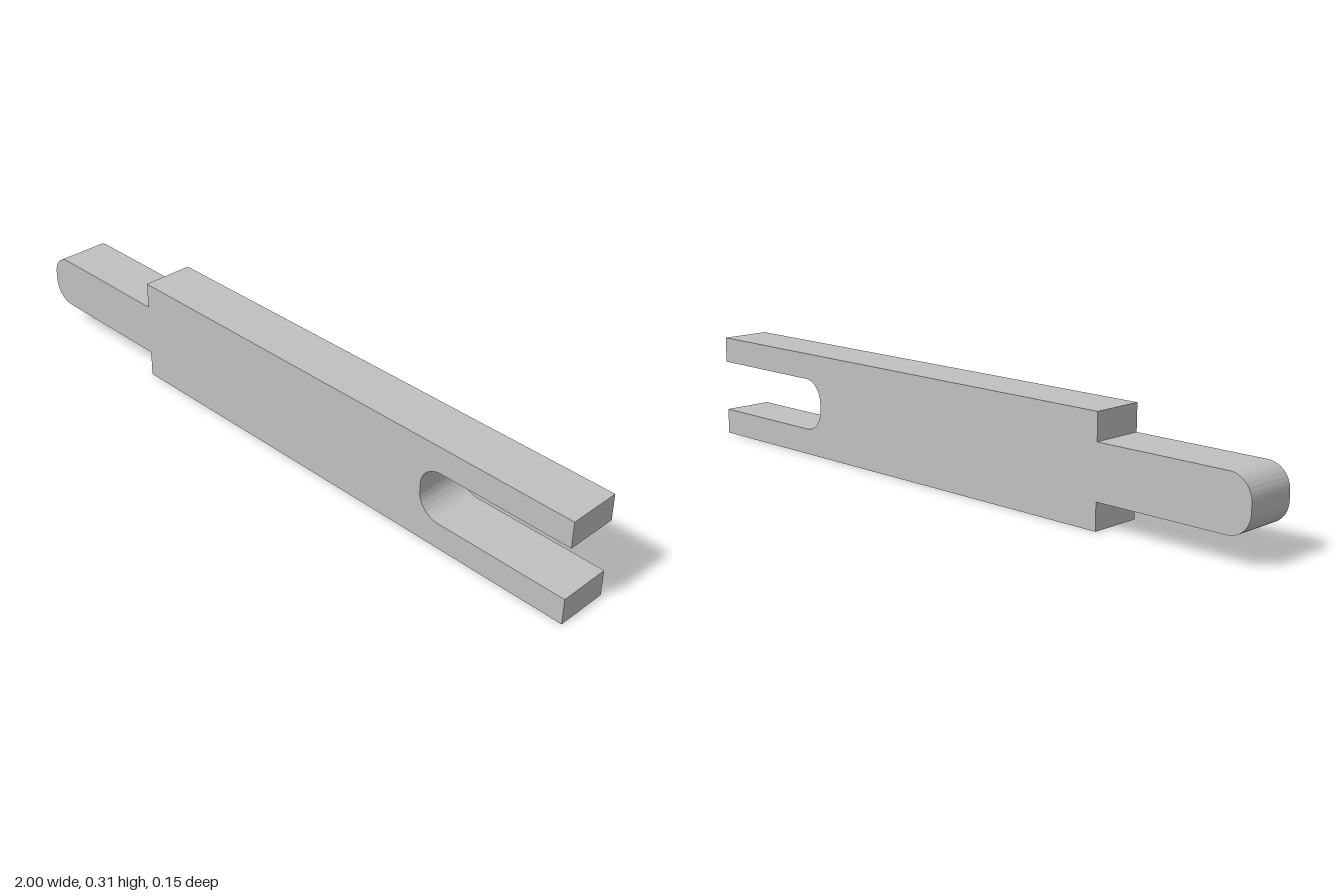
import * as THREE from 'three';
import { toCreasedNormals } from 'three/addons/utils/BufferGeometryUtils.js';

export function createModel() {
  const group = new THREE.Group();
  group.name = 'linkBar';
  const gray = new THREE.MeshStandardMaterial({ color: 0xc0c0c0 });
  gray.name = 'plain gray';

  const height = 0.308, depth = 0.154;
  const low = 0.077, high = 0.231; // shared by tongue and slot
  const shoulder = -0.54, slotEnd = 0.535, r = 0.065;

  // Side outline: stepped bar, rounded tongue on one end, open slot on the other
  const s = new THREE.Shape();
  s.moveTo(shoulder, 0);
  s.lineTo(1, 0);
  s.lineTo(1, low);
  // slot with rounded inner corners
  s.lineTo(slotEnd + r, low);
  s.absarc(slotEnd + r, low + r, r, -Math.PI / 2, -Math.PI, true);
  s.lineTo(slotEnd, high - r);
  s.absarc(slotEnd + r, high - r, r, Math.PI, Math.PI / 2, true);
  s.lineTo(1, high);
  s.lineTo(1, height);
  s.lineTo(shoulder, height);
  // tongue with rounded tip
  s.lineTo(shoulder, high);
  s.lineTo(-1 + r, high);
  s.absarc(-1 + r, high - r, r, Math.PI / 2, Math.PI, false);
  s.lineTo(-1, low + r);
  s.absarc(-1 + r, low + r, r, Math.PI, Math.PI * 1.5, false);
  s.lineTo(shoulder, low);
  s.closePath();

  const extruded = new THREE.ExtrudeGeometry(s, { depth, bevelEnabled: false, curveSegments: 16 });
  extruded.translate(0, 0, -depth / 2);
  const bar = new THREE.Mesh(toCreasedNormals(extruded, 0.5), gray);
  bar.name = 'slottedBar';
  group.add(bar);
  return group;
}
